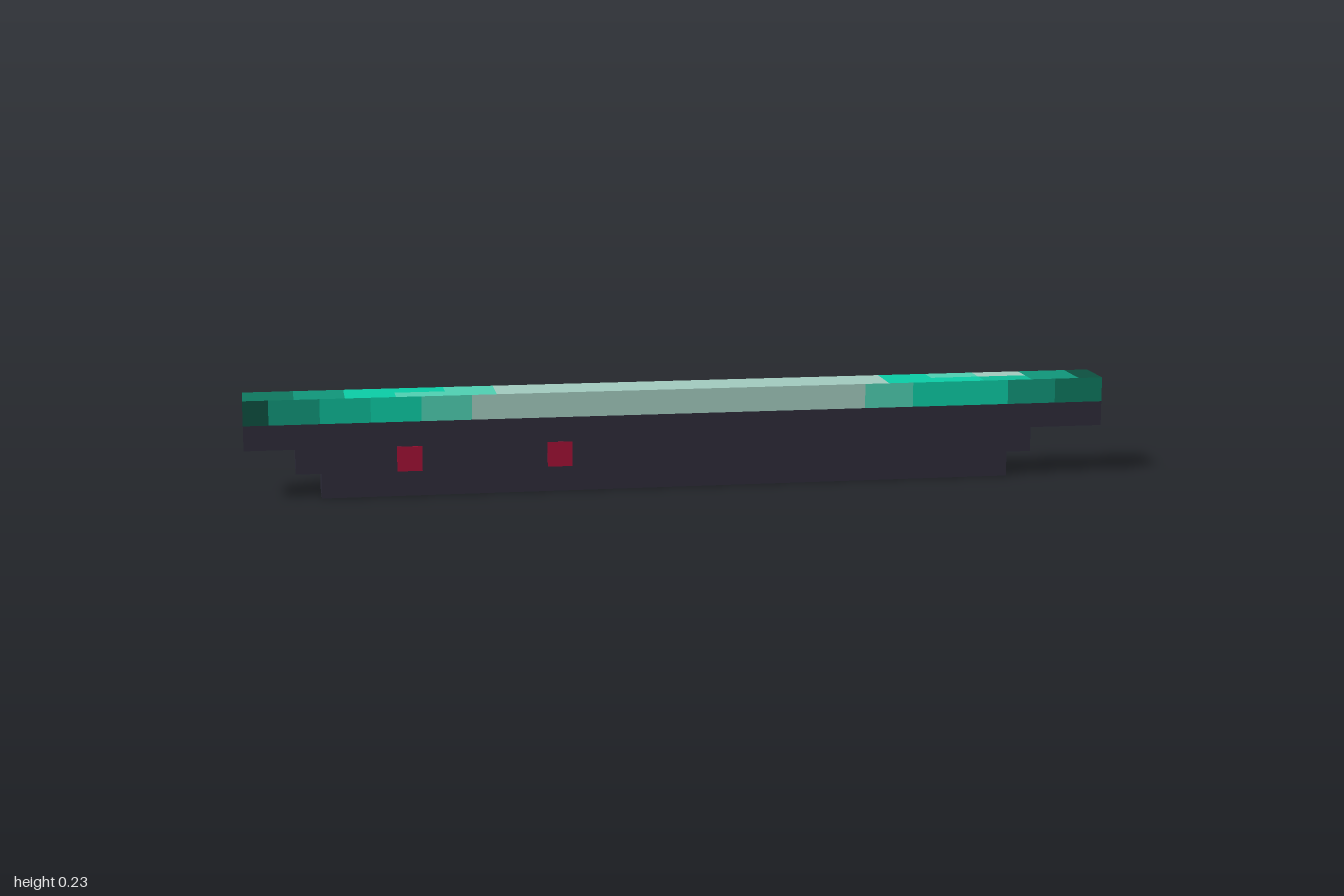
import * as THREE from 'three';

const U = 2 / 35; // one grid cell: 35 long, 4 high, 2 deep
const X = (c) => c * U - 1;

const paint = (name, color) => {
  const m = new THREE.MeshStandardMaterial({ color });
  m.name = name;
  return m;
};

export function createModel() {
  const model = new THREE.Group();
  model.name = 'steppedBar';

  const deepest = paint('deepestGreen', 0x0d5040);
  const deep = paint('deepGreen', 0x0e785f);
  const green = paint('green', 0x10967a);
  const teal = paint('teal', 0x0ebb97);
  const bright = paint('brightTeal', 0x0bcda6);
  const soft = paint('softTeal', 0x4fd0b2);
  const pale = paint('paleTeal', 0xa2cbbf);
  const navy = paint('darkSlate', 0x2e2c3a);
  const red = paint('crimson', 0xa31035);

  // Dark hull with stepped ends
  const outline = [[0, 3], [0, 2], [2, 2], [2, 1], [3, 1], [3, 0], [31, 0], [31, 1], [32, 1], [32, 2], [35, 2], [35, 3]];
  const shape = new THREE.Shape(outline.map(([x, y]) => new THREE.Vector2(X(x), y * U)));
  const hullGeo = new THREE.ExtrudeGeometry(shape, { depth: 2 * U, bevelEnabled: false });
  hullGeo.translate(0, 0, -U);
  const hull = new THREE.Mesh(hullGeo, navy);
  hull.name = 'hull';
  model.add(hull);

  // Red inlays on the front
  for (const c of [6, 12]) {
    const inlay = new THREE.Mesh(new THREE.BoxGeometry(U, U, 0.004), red);
    inlay.position.set(X(c + 0.5), 1.5 * U, U);
    inlay.name = 'redInlay';
    model.add(inlay);
  }

  // A run of flat colour panels along x; each entry is [end cell, material]
  const addRun = (name, runs, place) => {
    const group = new THREE.Group();
    group.name = name;
    let start = 0;
    for (const [end, material] of runs) {
      const panel = new THREE.Mesh(new THREE.PlaneGeometry((end - start) * U, U), material);
      panel.position.x = X((start + end) / 2);
      place(panel);
      panel.name = name + 'Panel';
      group.add(panel);
      start = end;
    }
    model.add(group);
  };

  const frontRun = [[1, deepest], [3, green], [5, teal], [7, bright], [9, soft], [25, pale],
    [27, soft], [31, bright], [33, green], [35, deep]];
  const backRun = [[2, deep], [4, green], [8, bright], [10, soft], [26, pale],
    [28, bright], [30, soft], [32, pale], [34, green], [35, deepest]];
  const topFrontRun = [[2, deep], [4, green], [6, bright], [10, soft], [26, pale],
    [30, bright], [32, teal], [34, green], [35, deepest]];

  // Coloured upper band: front, back and the two rows on top
  addRun('frontBand', frontRun, (p) => { p.position.y = 3.5 * U; p.position.z = U; });
  addRun('backBand', backRun, (p) => {
    p.position.y = 3.5 * U;
    p.position.z = -U;
    p.rotation.y = Math.PI;
  });
  const topRow = (z) => (p) => {
    p.position.y = 4 * U;
    p.position.z = z;
    p.rotation.x = -Math.PI / 2;
  };
  addRun('topFrontRow', topFrontRun, topRow(U / 2));
  addRun('topBackRow', backRun, topRow(-U / 2));

  // End caps of the band
  for (const [side, material] of [[1, deepest], [-1, deep]]) {
    const cap = new THREE.Mesh(new THREE.PlaneGeometry(2 * U, U), material);
    cap.position.set(side, 3.5 * U, 0);
    cap.rotation.y = side * Math.PI / 2;
    cap.name = side > 0 ? 'leftEndCap' : 'rightEndCap';
    model.add(cap);
  }
  return model;
}
